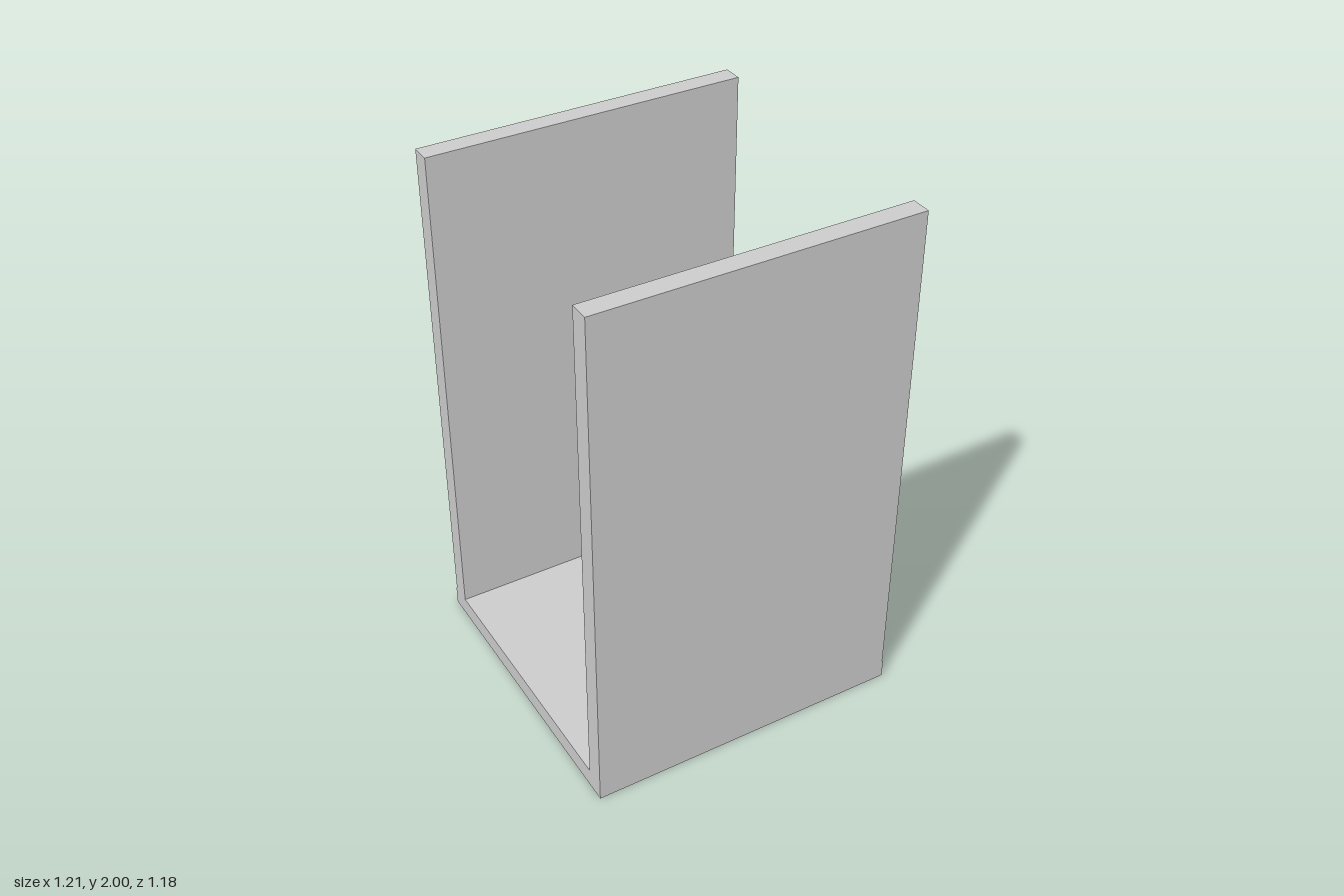
import * as THREE from 'three';

const material = new THREE.MeshStandardMaterial({ color: 0xcccccc, flatShading: true });

// Box given by its minimum and maximum corners
function slab(name, min, max) {
  const size = max.map((v, i) => v - min[i]);
  const mesh = new THREE.Mesh(new THREE.BoxGeometry(...size), material);
  mesh.position.set(...max.map((v, i) => (v + min[i]) / 2));
  mesh.name = name;
  return mesh;
}

export function createModel() {
  const group = new THREE.Group();
  group.name = 'channel';
  const baseTop = 0.072;

  // Floor plate
  group.add(slab('base', [-0.605, 0, -0.592], [0.605, baseTop, 0.592]));

  // Upright panels, the back one set in slightly from the floor edge
  group.add(slab('frontPanel', [-0.605, baseTop, 0.517], [0.601, 2, 0.592]));
  group.add(slab('backPanel', [-0.605, baseTop, -0.586], [0.601, 2, -0.511]));

  return group;
}
